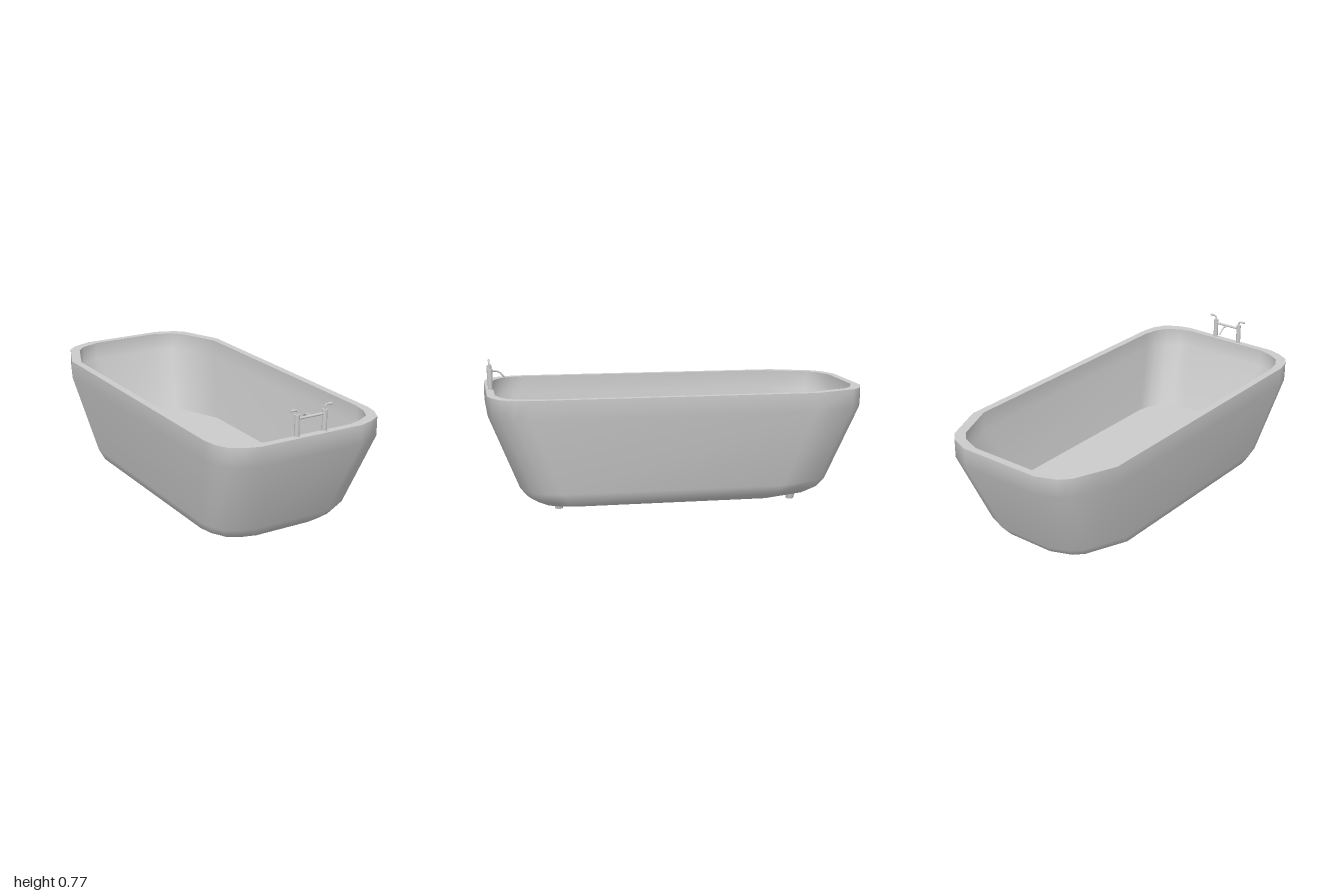
import * as THREE from 'three';

const material = new THREE.MeshStandardMaterial({ color: 0xcccccc, side: THREE.DoubleSide });

// Rim outline: one half from the front to the back, then mirrored
const half = [
  [0.29, 1], [0.36, 0.98], [0.43, 0.94], [0.465, 0.875], [0.48, 0.8],
  [0.48, -0.685], [0.387, -0.91], [0.34, -0.957], [0.23, -1],
];
const outline = [...half, ...half.map(([x, z]) => [-x, z]).reverse()];

// A ring is the outline with its corners moved inward by dx, dz at height y
function ring([y, dx, dz]) {
  return outline.map(([x, z]) => [x - Math.sign(x) * dx, y, z - Math.sign(z) * dz]);
}

// Smooth skin through a list of rings; a null ring closes to a flat centre
function loft(name, profile) {
  const rings = profile.map((p, i) => (p ? ring(p)
    : outline.map(() => [0, (profile[i - 1] || profile[i + 1])[0], 0])));
  const n = outline.length;
  const index = [];
  for (let r = 0; r < rings.length - 1; r++) {
    for (let i = 0; i < n; i++) {
      const a = r * n + i, b = r * n + (i + 1) % n;
      if (profile[r]) index.push(a, a + n, b);
      if (profile[r + 1]) index.push(b, a + n, b + n);
    }
  }
  const g = new THREE.BufferGeometry();
  g.setAttribute('position', new THREE.Float32BufferAttribute(rings.flat(2), 3));
  g.setIndex(index);
  g.computeVertexNormals();
  return mesh(name, g);
}

function mesh(name, geometry, x = 0, y = 0, z = 0) {
  const m = new THREE.Mesh(geometry, material);
  m.name = name;
  m.position.set(x, y, z);
  return m;
}

// Round pipe along straight pieces with a softened bend at the middle point
function pipe(name, a, b, c, bend, radius) {
  const [A, B, C] = [a, b, c].map((p) => new THREE.Vector3(...p));
  const p = B.clone().lerp(A, bend), q = B.clone().lerp(C, bend);
  const path = new THREE.CurvePath();
  path.add(new THREE.LineCurve3(A, p));
  path.add(new THREE.QuadraticBezierCurve3(p, B, q));
  path.add(new THREE.LineCurve3(q, C));
  return mesh(name, new THREE.TubeGeometry(path, 20, radius, 12));
}

function createTub() {
  const tub = new THREE.Group();
  tub.name = 'tub';
  tub.add(
    loft('innerFloor', [null, [0.19, 0.103, 0.182]]),
    loft('innerWall', [[0.19, 0.103, 0.182], [0.53, 0.04, 0.04], [0.63, 0.04, 0.04]]),
    loft('rim', [[0.63, 0.04, 0.04], [0.63, 0, 0]]),
    loft('outerWall', [
      [0.63, 0, 0], [0.53, 0, 0], [0.13, 0.075, 0.16], [0.08, 0.095, 0.2],
      [0.05, 0.135, 0.24], [0.04, 0.185, 0.285],
    ]),
    loft('underside', [[0.04, 0.185, 0.285], null]),
  );
  return tub;
}

function createTap() {
  const tap = new THREE.Group();
  tap.name = 'tap';
  tap.position.set(0, 0.63, 0.976);
  for (const s of [-1, 1]) {
    tap.add(mesh('postFlange', new THREE.CylinderGeometry(0.014, 0.017, 0.005, 20), s * 0.08, 0.0025, 0));
    tap.add(mesh('post', new THREE.CylinderGeometry(0.0125, 0.0125, 0.112, 20), s * 0.08, 0.056, 0));
    // Lever handle rising from the post and turning outward
    tap.add(pipe('handle', [s * 0.08, 0.11, 0], [s * 0.08, 0.135, 0], [s * 0.118, 0.135, 0], 0.55, 0.0045));
    const grip = mesh('handleGrip', new THREE.CylinderGeometry(0.006, 0.006, 0.024, 14), s * 0.108, 0.135, 0);
    grip.rotation.z = Math.PI / 2;
    tap.add(grip);
  }
  const bar = mesh('crossBar', new THREE.CylinderGeometry(0.0065, 0.0065, 0.16, 14), 0, 0.091, 0);
  bar.rotation.z = Math.PI / 2;
  tap.add(bar);
  tap.add(pipe('spout', [0, 0.091, 0], [0, 0.091, -0.045], [0, 0.057, -0.08], 0.3, 0.0045));
  return tap;
}

export function createModel() {
  const model = new THREE.Group();
  model.name = 'bathtub';
  model.add(createTub(), createTap());

  // Four small tapered feet
  for (const x of [-0.16, 0.16]) {
    for (const z of [-0.635, 0.635]) {
      model.add(mesh('foot', new THREE.CylinderGeometry(0.03, 0.02, 0.042, 20), x, 0.021, z));
    }
  }
  return model;
}
